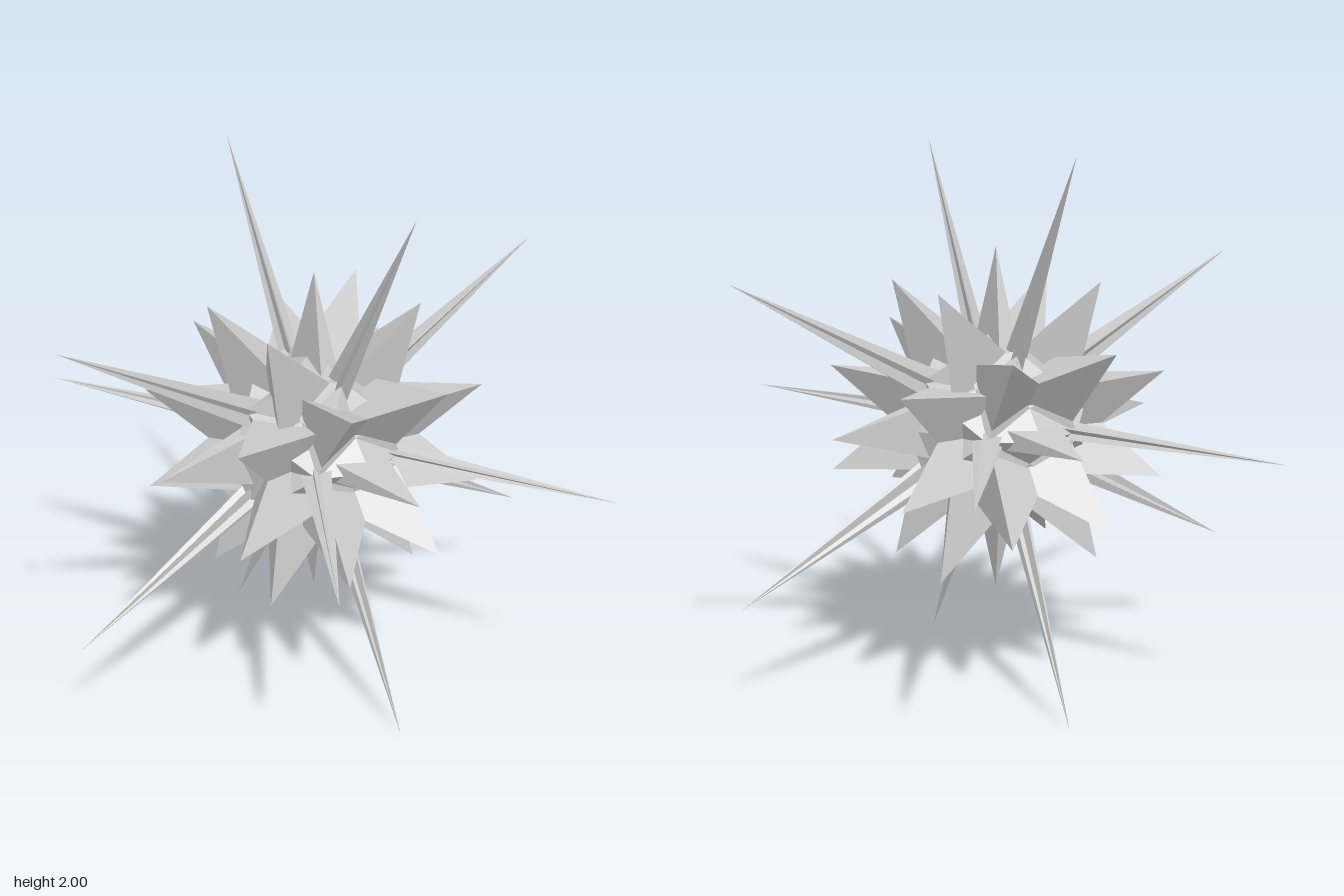
import * as THREE from 'three';
import { ConvexGeometry } from 'three/addons/geometries/ConvexGeometry.js';

const V = (x, y, z) => new THREE.Vector3(x, y, z);

// A spike is a tip plus base corners [a, b], measured along two directions from a base centre
function spikePoints(tip, centre, dirA, dirB, corners) {
  const base = corners.map(([a, b]) =>
    centre.clone().addScaledVector(dirA, a).addScaledVector(dirB, b));
  return [tip, ...base];
}

// Core: an icosahedron with raised edge middles and sunken face middles
function coreGeometry(cornerRadius, edgeRadius, faceRadius) {
  const ico = new THREE.IcosahedronGeometry(1, 0).rotateZ(Math.PI / 2);
  const source = ico.getAttribute('position');
  const points = [];
  for (let i = 0; i < source.count; i += 3) {
    const corners = [0, 1, 2].map((k) => V().fromBufferAttribute(source, i + k));
    const middle = V(0, 0, 0).add(corners[0]).add(corners[1]).add(corners[2]).setLength(faceRadius);
    for (let k = 0; k < 3; k++) {
      const a = corners[k], b = corners[(k + 1) % 3];
      const edge = a.clone().add(b).setLength(edgeRadius);
      points.push(a.clone().setLength(cornerRadius), edge, middle);
      points.push(edge, b.clone().setLength(cornerRadius), middle);
    }
  }
  const geometry = new THREE.BufferGeometry().setFromPoints(points);
  geometry.computeVertexNormals();
  return geometry;
}

export function createModel() {
  const model = new THREE.Group();
  model.name = 'spikyStar';
  const star = new THREE.Group();
  star.name = 'star';
  star.position.y = 1;
  model.add(star);
  const material = new THREE.MeshStandardMaterial({ color: 0xcccccc, flatShading: true });

  const core = new THREE.Mesh(coreGeometry(0.34, 0.355, 0.285), material);
  core.name = 'core';
  star.add(core);

  // Repeat a spike over the three axes and all mirror planes
  function repeat(name, points) {
    const set = new THREE.Group();
    set.name = name + 's';
    const signs = (v) => (Math.abs(v) < 1e-6 ? [1] : [1, -1]);
    const [tip] = points;
    for (const sx of signs(tip.x)) for (const sy of signs(tip.y)) for (const sz of signs(tip.z)) {
      for (let turn = 0; turn < 3; turn++) {
        const moved = points.map((p) => {
          const q = [p.x * sx, p.y * sy, p.z * sz];
          return V(q[(3 - turn) % 3], q[(4 - turn) % 3], q[(5 - turn) % 3]);
        });
        const mesh = new THREE.Mesh(new ConvexGeometry(moved), material);
        mesh.name = name;
        set.add(mesh);
      }
    }
    star.add(set);
  }

  // Long needles with a five-bladed star section
  for (let i = 0; i < 5; i++) {
    const t = (i * Math.PI * 2) / 5;
    const c = Math.cos(t), s = Math.sin(t);
    repeat('longSpikeBlade', spikePoints(
      V(0.577, 0, 1), V(0.526, 0, 0.851).multiplyScalar(0.27),
      V(0.851, 0, -0.526), V(0, 1, 0),
      [[0.062 * c, 0.036 * s], [-0.022 * s, 0.018 * c], [0.022 * s, -0.018 * c],
        [-0.012 * c, -0.012 * s]]));
  }

  // Narrow wedge spikes on the main axes
  repeat('axisSpike', spikePoints(
    V(0, 0, 0.645), V(0, 0, 0.27), V(1, 0, 0), V(0, 1, 0),
    [[0.105, 0.038], [-0.105, 0.038], [-0.105, -0.038], [0.105, -0.038]]));

  // Broad three-sided spikes between the axes
  const axis = V(0.309, 0.5, 0.809);
  repeat('broadSpike', spikePoints(
    axis.clone().multiplyScalar(0.645), axis.clone().multiplyScalar(0.27),
    V(-0.5, 0.809, -0.309), V(-0.809, -0.309, 0.5),
    [[0.085, 0.14], [0.085, -0.14], [-0.15, 0]]));

  return model;
}
